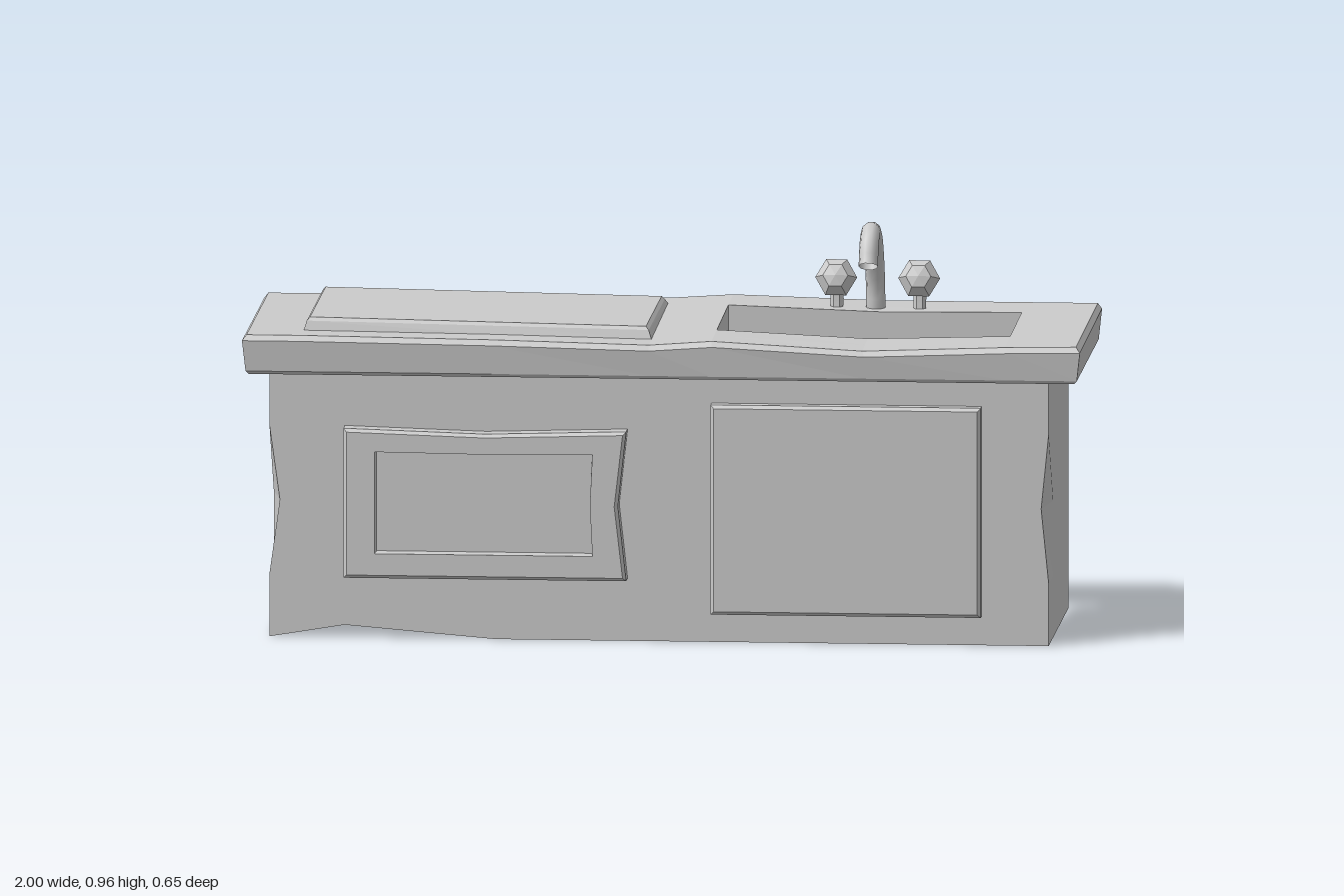
import * as THREE from 'three';

const flat = new THREE.MeshStandardMaterial({ color: 0xcccccc, flatShading: true, side: THREE.DoubleSide });
const smooth = new THREE.MeshStandardMaterial({ color: 0xcccccc, side: THREE.DoubleSide });
const BACK = -0.325, FRONT = 0.26;

function add(group, name, geometry, material = flat) {
  const mesh = new THREE.Mesh(geometry, material);
  mesh.name = name;
  group.add(mesh);
  return mesh;
}

// Skin a list of equally long rows of points; keep(i, j) can leave cells open
function skin(rows, closed = false, keep = () => true) {
  const pos = [];
  const tri = (a, b, c) => {
    const same = (p, q) => p.every((v, k) => Math.abs(v - q[k]) < 1e-6);
    if (!same(a, b) && !same(b, c) && !same(a, c)) pos.push(...a, ...b, ...c);
  };
  for (let i = 0; i < rows.length - 1; i++) {
    const n = rows[i].length;
    for (let j = 0; j < (closed ? n : n - 1); j++) {
      if (!keep(i, j)) continue;
      const k = (j + 1) % n;
      tri(rows[i][j], rows[i][k], rows[i + 1][k]);
      tri(rows[i][j], rows[i + 1][k], rows[i + 1][j]);
    }
  }
  const g = new THREE.BufferGeometry();
  g.setAttribute('position', new THREE.Float32BufferAttribute(pos, 3));
  g.computeVertexNormals();
  return g;
}

// Closing row: every point at the middle of the given row
function middle(row) {
  const c = [0, 1, 2].map(k => row.reduce((s, p) => s + p[k], 0) / row.length);
  return row.map(() => c);
}

// Eight-point door outline with a dent in its right and top edges
function outline([x0, x1, y0, y1], z, inset, dent) {
  x0 += inset; x1 -= inset; y0 += inset; y1 -= inset;
  const xm = (x0 + x1) / 2, ym = (y0 + y1) / 2;
  return [[x0, y0, z], [xm, y0, z], [x1, y0, z], [x1 - dent, ym, z],
    [x1, y1, z], [xm, y1 - dent / 2, z], [x0, y1, z], [x0, ym, z]];
}

// Worktop stations and the uneven heights of its back and front edges
const XS = [-0.99, -0.86, -0.4, -0.03, 0.12, 0.48, 0.82, 0.99];
const ZS = [BACK, -0.25, -0.18, 0.16, 0.24, 0.32];
const BACK_Y = [0.735, 0.735, 0.735, 0.735, 0.745, 0.735, 0.735, 0.735];
const FRONT_Y = [0.735, 0.735, 0.73, 0.722, 0.733, 0.714, 0.727, 0.73];
const topPoint = (i, j) => {
  const t = (ZS[j] - BACK) / (0.32 - BACK);
  return [XS[i], BACK_Y[i] * (1 - t) + FRONT_Y[i] * t, ZS[j]];
};

// U-shaped run along the left, front and right edges
function edgeRun(x0, x1, front, y) {
  const last = XS.length - 1, end = ZS.length - 1, run = [];
  const put = (i, j) => {
    const p = topPoint(i, j);
    run.push([x0 + (p[0] + 0.99) / 1.98 * (x1 - x0), y(p[1]),
      BACK + (p[2] - BACK) / (0.32 - BACK) * (front - BACK)]);
  };
  ZS.forEach((_, j) => put(0, j));
  XS.forEach((_, i) => put(i, end));
  for (let j = end; j >= 0; j--) put(last, j);
  return run;
}

function buildWorktop() {
  const g = new THREE.Group();
  g.name = 'worktop';
  const inSlab = (i, j) => i >= 1 && i < 3 && j >= 1 && j < 4;
  const inSink = (i, j) => i >= 4 && i < 6 && j === 2;
  add(g, 'worktopSurface', skin(XS.map((_, i) => ZS.map((_, j) => topPoint(i, j))), false,
    (i, j) => !inSlab(i, j) && !inSink(i, j)));
  add(g, 'worktopLip', skin([
    edgeRun(-0.99, 0.99, 0.32, y => y),
    edgeRun(-1, 1, 0.33, y => y - 0.013),
    edgeRun(-0.992, 0.992, 0.322, () => 0.648),
    edgeRun(-0.985, 0.985, 0.315, () => 0.64),
    edgeRun(-0.94, 0.92, FRONT, () => 0.64),
  ]));

  // Raised draining board, sloping towards the sink
  const base = [[1, 1], [2, 1], [3, 1], [3, 4], [2, 4], [1, 4]].map(([i, j]) => topPoint(i, j));
  const raised = inset => base.map(([x, , z]) => [
    x < -0.8 ? x + inset : x > -0.1 ? x - inset : x,
    0.765 - (x + 0.86) * 0.015 - (inset < 0.01 ? 0.008 : 0), z < 0 ? z + inset : z - inset]);
  const top = raised(0.014);
  add(g, 'drainingBoard', skin([base, raised(0.007), top, middle(top)], true));

  // Sink walls, open underneath
  const rim = [[4, 2], [5, 2], [6, 2], [6, 3], [5, 3], [4, 3]].map(([i, j]) => topPoint(i, j));
  add(g, 'sinkWalls', skin([rim, rim.map(([x, , z]) => [x, 0.42, z])], true));
  return g;
}

function buildCabinet() {
  const g = new THREE.Group();
  g.name = 'cabinet';
  const left = [[-0.94, 0], [-0.94, 0.15], [-0.915, 0.33], [-0.94, 0.51], [-0.94, 0.64]];
  const right = [[0.92, 0], [0.92, 0.15], [0.902, 0.33], [0.92, 0.51], [0.92, 0.64]];
  const frameBox = [-0.76, -0.085, 0.15, 0.51], doorBox = [0.115, 0.76, 0.07, 0.575];

  // Front panel, open behind both doors
  const v = ([x, y]) => new THREE.Vector2(x, y);
  const shape = new THREE.Shape([...left].reverse().concat([[-0.76, 0.03], [-0.4, 0]], right).map(v));
  shape.holes.push(new THREE.Path(outline(frameBox, 0, 0, 0.02).map(v)));
  shape.holes.push(new THREE.Path(outline(doorBox, 0, 0, 0).map(v)));
  add(g, 'frontPanel', new THREE.ShapeGeometry(shape)).position.z = FRONT;

  // Side panels, dented along the front corners
  for (const [name, col] of [['rightSide', left], ['leftSide', right]]) {
    const straight = z => col.map(([, y]) => [col[0][0], y, z]);
    add(g, name, skin([straight(BACK), straight(0.13), col.map(([x, y]) => [x, y, FRONT])]));
  }

  // Framed door with a sunken panel
  const sunk = [-0.685, -0.165, 0.21, 0.455];
  const panel = outline(sunk, 0.283, 0.003, 0);
  add(g, 'framedDoor', skin([
    outline(frameBox, FRONT, 0, 0.02), outline(frameBox, 0.303, 0, 0.02),
    outline(frameBox, 0.312, 0.008, 0.02), outline(sunk, 0.312, 0, 0.006),
    panel, middle(panel)], true));

  // Plain door
  const face = outline(doorBox, 0.296, 0.008, 0);
  add(g, 'plainDoor', skin([
    outline(doorBox, FRONT, 0, 0), outline(doorBox, 0.288, 0, 0), face, middle(face)], true));
  return g;
}

function buildTap() {
  const g = new THREE.Group();
  g.name = 'tap';
  const curve = pts => new THREE.CatmullRomCurve3(pts.map(([y, z]) => new THREE.Vector3(0, y, z)));

  // Swan-neck spout
  const spout = curve([[0.73, -0.235], [0.79, -0.228], [0.855, -0.2], [0.91, -0.158],
    [0.938, -0.1], [0.918, -0.045], [0.865, -0.014]]);
  add(g, 'spout', new THREE.TubeGeometry(spout, 14, 0.023, 10), smooth).position.x = 0.467;

  // Faceted handles on bent stems
  const knob = [[0, -0.03], [0.026, -0.028], [0.05, 0], [0.03, 0.028], [0, 0.034]]
    .map(([r, y]) => new THREE.Vector2(r, y));
  for (const x of [0.375, 0.573]) {
    const handle = new THREE.Group();
    handle.name = 'handle';
    handle.position.x = x;
    const stem = curve([[0.73, -0.228], [0.77, -0.23], [0.808, -0.212]]);
    add(handle, 'handleStem', new THREE.TubeGeometry(stem, 5, 0.015, 6));
    const head = add(handle, 'handleKnob', new THREE.LatheGeometry(knob, 6));
    head.rotation.set(1.25, Math.PI / 6, 0);
    head.position.set(0, 0.808, -0.207);
    g.add(handle);
  }
  return g;
}

export function createModel() {
  const model = new THREE.Group();
  model.name = 'sinkUnit';
  model.add(buildCabinet(), buildWorktop(), buildTap());
  return model;
}
